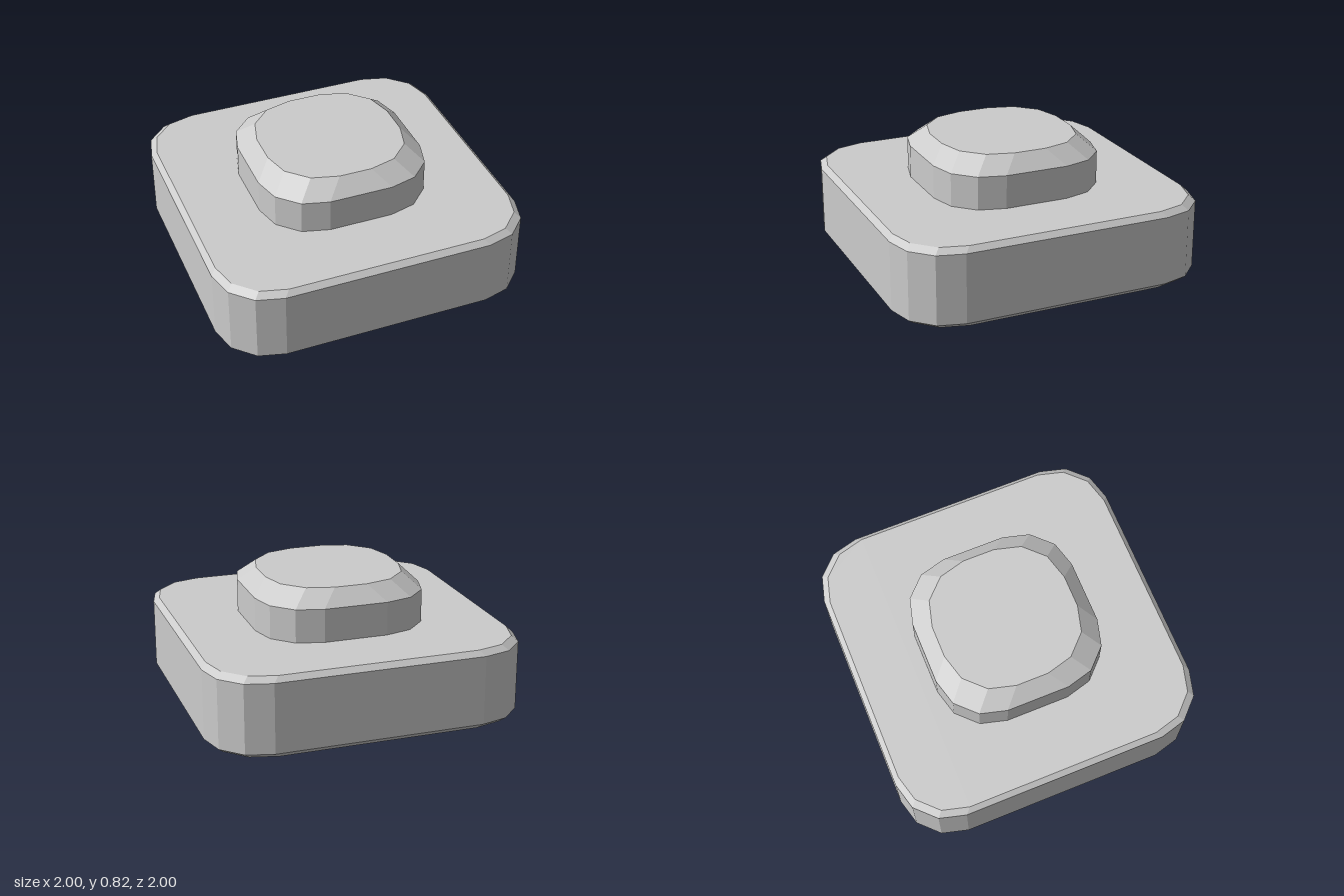
import * as THREE from 'three';

const RADIUS = 0.34;
const CORNER_STEPS = 3;

// Rounded-square ring, counter-clockwise seen from above
function ring(half, y) {
  const points = [], c = half - RADIUS;
  for (let q = 0; q < 4; q++) {
    const mid = (q + 0.5) * Math.PI / 2;
    const cx = Math.sign(Math.cos(mid)) * c, cz = -Math.sign(Math.sin(mid)) * c;
    for (let i = 0; i <= CORNER_STEPS; i++) {
      const a = (q + i / CORNER_STEPS) * Math.PI / 2;
      points.push([cx + RADIUS * Math.cos(a), y, cz - RADIUS * Math.sin(a)]);
    }
  }
  return points;
}

// Faceted solid through a stack of [half width, height] levels, capped at both ends
function loft(name, levels, material) {
  const rings = levels.map(([half, y]) => ring(half, y));
  const n = rings[0].length, positions = [];
  const tri = (a, b, c) => positions.push(...a, ...b, ...c);
  for (let k = 0; k < rings.length - 1; k++) {
    const lo = rings[k], hi = rings[k + 1];
    for (let i = 0; i < n; i++) {
      const j = (i + 1) % n;
      tri(lo[i], lo[j], hi[j]);
      tri(lo[i], hi[j], hi[i]);
    }
  }
  const bottom = rings[0], top = rings[rings.length - 1];
  for (let i = 1; i < n - 1; i++) {
    tri(top[0], top[i], top[i + 1]);
    tri(bottom[0], bottom[i + 1], bottom[i]);
  }
  const geometry = new THREE.BufferGeometry();
  geometry.setAttribute('position', new THREE.Float32BufferAttribute(positions, 3));
  geometry.computeVertexNormals();
  const mesh = new THREE.Mesh(geometry, material);
  mesh.name = name;
  return mesh;
}

export function createModel() {
  const group = new THREE.Group();
  group.name = 'buttonBlock';
  const material = new THREE.MeshStandardMaterial({ color: 0xcccccc, flatShading: true });

  // Wide slab with a small bevel at both ends
  group.add(loft('base', [[0.967, 0], [1, 0.033], [1, 0.473], [0.967, 0.506]], material));

  // Raised button with a broad chamfer
  group.add(loft('button', [[0.543, 0.5], [0.543, 0.718], [0.444, 0.817]], material));

  return group;
}
